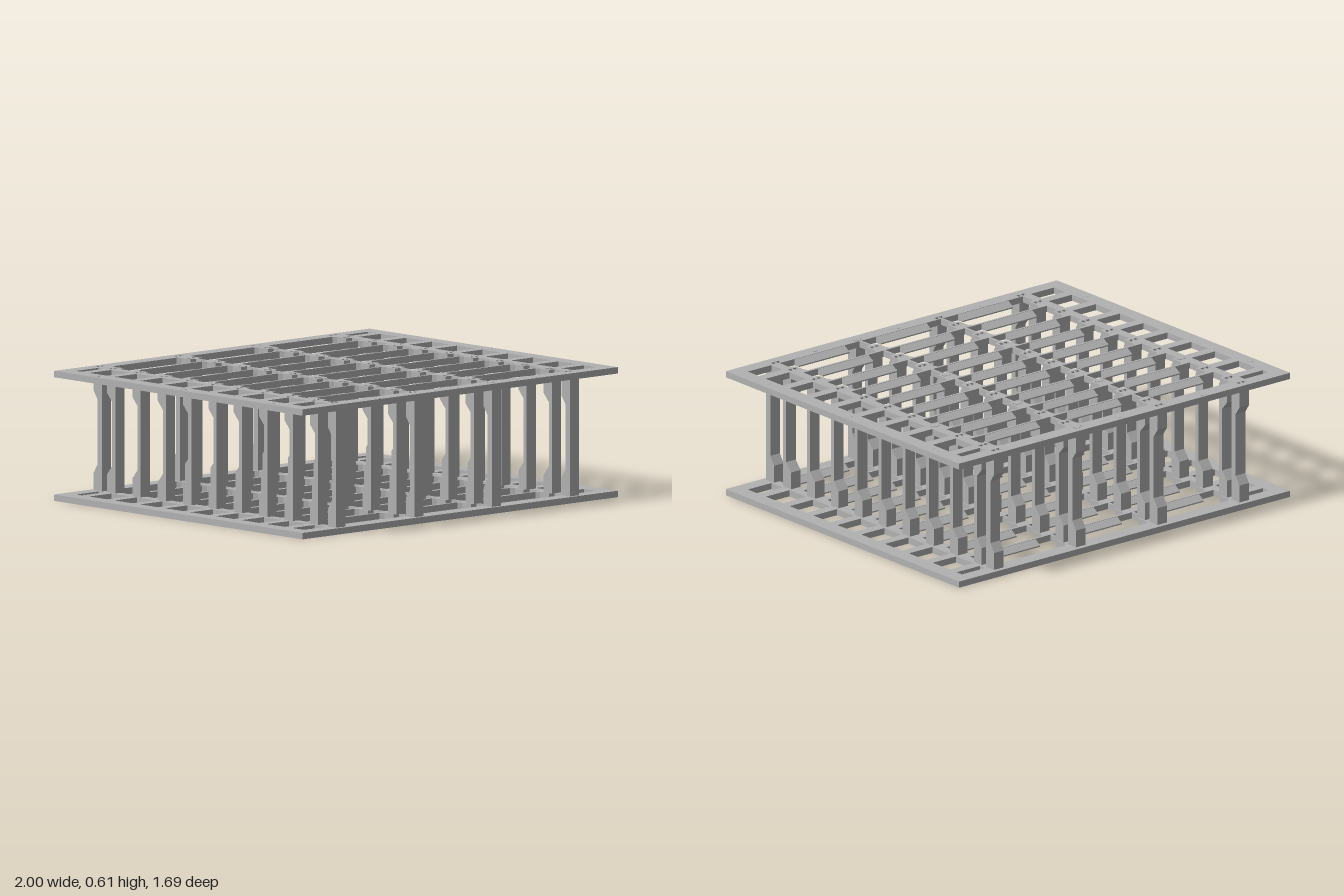
import * as THREE from 'three';

const PITCH = 0.173, HALF_Z = 0.847, EDGE_Z = 0.777, THICK = 0.03, TOP = 0.61;
const COLUMNS = [-0.741, -0.246, 0.246, 0.741];
// front edge of every row of posts
const ROWS = [0.83, ...Array.from({ length: 9 }, (_, i) => 0.707 - PITCH * i), -0.767];
const POST_DEPTH = 0.057;

function poly(points, Type = THREE.Path) {
  return new Type(points.map(([x, y]) => new THREE.Vector2(x, y)));
}
function rect(x0, x1, z0, z1, Type) {
  return poly([[x0, z0], [x1, z0], [x1, z1], [x0, z1]], Type);
}

// Slotted plate: side ladders, three columns of bays and a socket over every post
function plateGeometry() {
  const shape = rect(-1, 1, -HALF_Z, HALF_Z, THREE.Shape);
  for (const s of [-1, 1]) {
    let start = -EDGE_Z;
    for (let i = 0; i <= 9; i++) {
      const rung = -0.713 + PITCH * i;
      const end = i < 9 ? rung - 0.025 : EDGE_Z;
      shape.holes.push(rect(Math.min(s * 0.783, s * 0.925), Math.max(s * 0.783, s * 0.925), start, end));
      start = rung + 0.025;
    }
  }
  for (let c = 0; c < 3; c++) {
    const l = COLUMNS[c], r = COLUMNS[c + 1], boss = 0.035, rib = 0.006;
    for (let i = 0; i < 9; i++) {
      const a = -EDGE_Z + PITCH * i + 0.006, b = -EDGE_Z + PITCH * (i + 1) - 0.006;
      shape.holes.push(poly([
        [l + boss + 0.012, a], [r - boss - 0.012, a], [r - boss, a + 0.02], [r - boss, a + 0.08],
        [r - rib, a + 0.088], [r - rib, b], [l + rib, b], [l + rib, a + 0.088],
        [l + boss, a + 0.08], [l + boss, a + 0.02],
      ]));
    }
  }
  for (const x of COLUMNS) {
    for (const front of ROWS) {
      const z = front - POST_DEPTH + 0.018;
      shape.holes.push(rect(x - 0.024, x - 0.003, z - 0.011, z + 0.011));
      shape.holes.push(rect(x + 0.003, x + 0.024, z - 0.011, z + 0.011));
    }
  }
  const g = new THREE.ExtrudeGeometry(shape, { depth: THICK, bevelEnabled: false });
  g.rotateX(Math.PI / 2);
  return g.translate(0, THICK, 0);
}

// Upright with a slim body and widened feet at both ends
function postGeometry(body) {
  const lo = THICK, hi = TOP - THICK, d = POST_DEPTH;
  const shape = poly([
    [0, lo], [d, lo], [d, 0.113], [body, 0.155], [body, 0.457], [d, 0.497], [d, hi], [0, hi],
  ], THREE.Shape);
  const g = new THREE.ExtrudeGeometry(shape, { depth: 0.058, bevelEnabled: false });
  g.translate(0, 0, -0.029);
  return g.rotateY(Math.PI / 2);
}

// Sloped guide tab along the back of a cross bar
function tabGeometry() {
  const shape = poly([[0, 0], [0.036, 0], [0.036, 0.006], [0, THICK]], THREE.Shape);
  const g = new THREE.ExtrudeGeometry(shape, { depth: 0.305, bevelEnabled: false });
  g.translate(0, 0, -0.1525);
  return g.rotateY(Math.PI / 2);
}

export function createModel() {
  const model = new THREE.Group();
  model.name = 'slottedRack';
  const grey = new THREE.MeshStandardMaterial({ color: 0xb2b2b2 });
  grey.name = 'lightGrey';
  const add = (parent, name, geometry, x = 0, y = 0, z = 0) => {
    const mesh = new THREE.Mesh(geometry, grey);
    mesh.name = name;
    mesh.position.set(x, y, z);
    parent.add(mesh);
    return mesh;
  };

  // Lower and upper plates with their guide tabs
  const plate = plateGeometry(), tab = tabGeometry();
  for (const upper of [false, true]) {
    const deck = new THREE.Group();
    deck.name = upper ? 'upperDeck' : 'lowerDeck';
    add(deck, 'plate', plate, 0, upper ? TOP - THICK : 0, 0);
    for (let i = 1; i <= 9; i++) {
      for (const x of [-0.494, 0, 0.494]) {
        add(deck, 'guideTab', tab, x, upper ? TOP - THICK : 0, -EDGE_Z + PITCH * i - 0.004);
      }
    }
    model.add(deck);
  }

  // Posts in four columns
  const slim = postGeometry(0.022), stout = postGeometry(0.03);
  const posts = new THREE.Group();
  posts.name = 'posts';
  for (const x of COLUMNS) {
    ROWS.forEach((front, i) => {
      const end = i === 0 || i === ROWS.length - 1;
      add(posts, end ? 'endPost' : 'post', end ? stout : slim, x, 0, front);
    });
  }
  model.add(posts);

  // Flush plugs around the rim of the upper plate
  const plug = new THREE.CylinderGeometry(0.02, 0.02, 0.002, 24);
  for (const s of [-1, 1]) {
    for (const z of [-0.595, 0, 0.595]) add(model, 'rimPlug', plug, s * 0.965, TOP, z);
    for (const x of [-0.494, 0, 0.494]) add(model, 'rimPlug', plug, x, TOP, s * 0.813);
  }

  // Round bolts at a few posts
  const bolt = new THREE.CylinderGeometry(0.017, 0.017, 0.012, 20);
  const bolts = [[0.246, -0.8], [0.246, 0.155], [0.246, 0.797], ...COLUMNS.map((x) => [x, -0.363])];
  for (const [x, z] of bolts) add(model, 'bolt', bolt, x, TOP - 0.005, z);
  return model;
}
